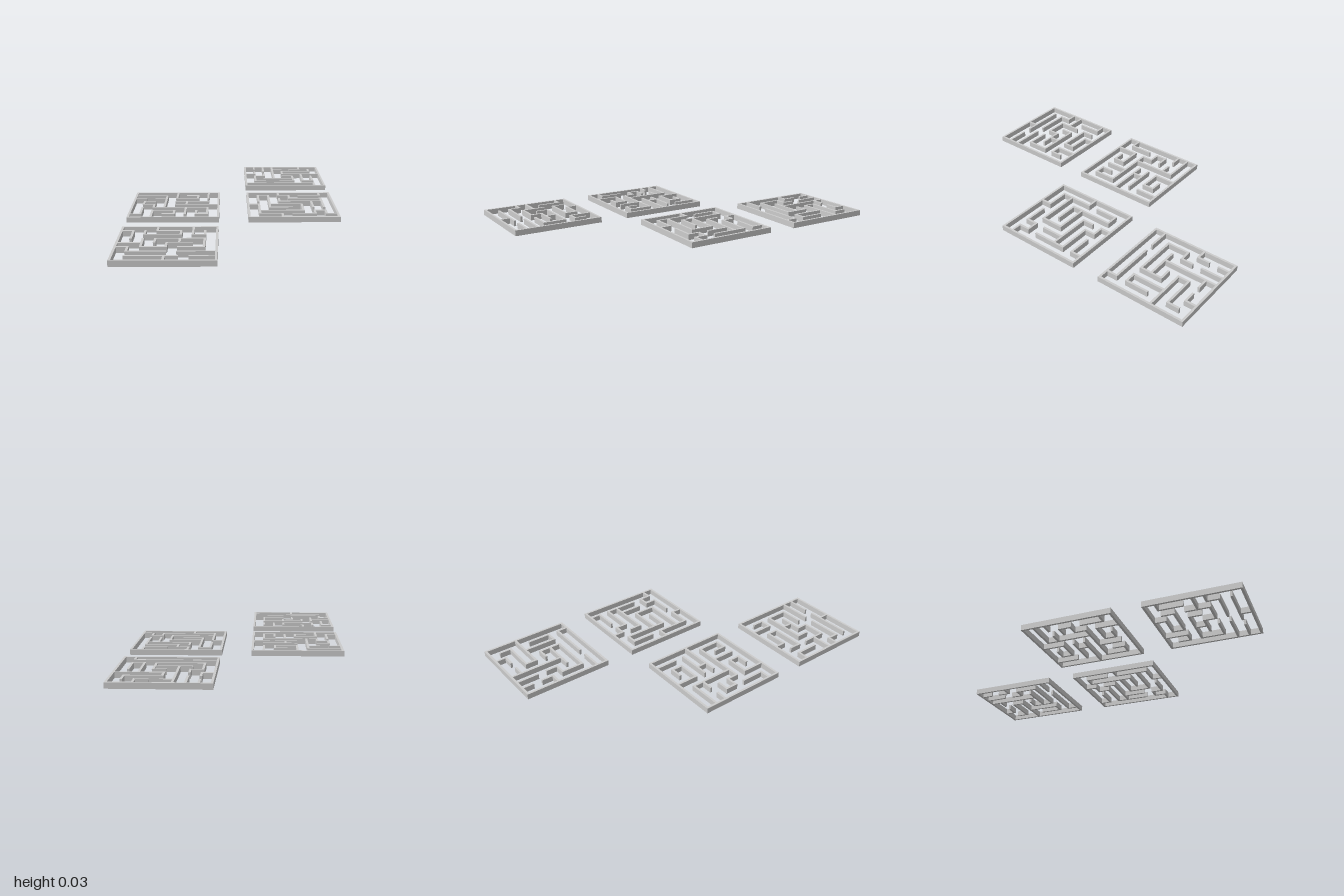
import * as THREE from 'three';
import { mergeGeometries } from 'three/addons/utils/BufferGeometryUtils.js';

const CELLS = 8;
const SIZE = 0.55;                     // outer side of one maze
const PITCH = SIZE / (CELLS + 0.2);    // distance between wall centrelines
const THICK = PITCH * 0.2;
const HEIGHT = 0.0335;
const SPACING = 0.725;                 // distance between maze centres

// Inner walls: each word is a polyline of grid corners, "column row" digits joined by dashes
const MAZES = [
  { name: 'mazeBackLeft', col: 0.5, row: -1, walls:
    '10-11 20-22 30-35 31-41 60-61-51 71-72-42-43-83 12-13-03 ' +
    '23-24-14-16-56-54-44 25-55 63-66-76-74 07-27 37-77-78' },
  { name: 'mazeMiddleRight', col: -0.5, row: 0, walls:
    '01-31-35 22-32 02-12 23-13-14-24-25-75-77-67-66 40-42-62-61-51 ' +
    '70-72 43-73 53-54 44-84 55-57 15-17-07 28-26-46-47-37' },
  { name: 'mazeMiddleLeft', col: 0.5, row: 0, walls:
    '30-31-41-42-72-75 51-71-70 13-11-21-25-45 32-33-73 63-65 ' +
    '24-54-56-16 04-14-17-37-38 47-67-66-76-77-87' },
  { name: 'mazeFrontRight', col: -0.5, row: 1, walls:
    '30-31-51-52-22-21 01-11-13 60-62-72-71 04-24 23-25-45-44-64 ' +
    '53-54 34-33-73-75-55 05-15-16-46 56-86 17-57 47-48 67-87' },
];
const FRAME = '00-80-88-08-00';

// One straight wall between two grid corners, with square ends covering the corners
function wallBox([c0, r0], [c1, r1]) {
  const box = new THREE.BoxGeometry(
    Math.abs(c1 - c0) * PITCH + THICK, HEIGHT, Math.abs(r1 - r0) * PITCH + THICK);
  return box.translate(
    ((c0 + c1) / 2 - CELLS / 2) * PITCH, HEIGHT / 2, ((r0 + r1) / 2 - CELLS / 2) * PITCH);
}

// All walls of a plan merged into a single mesh
function wallMesh(name, plan, material) {
  const boxes = [];
  for (const line of plan.split(' ')) {
    const corners = line.split('-').map(p => [Number(p[0]), Number(p[1])]);
    for (let i = 1; i < corners.length; i++) boxes.push(wallBox(corners[i - 1], corners[i]));
  }
  const mesh = new THREE.Mesh(mergeGeometries(boxes), material);
  mesh.name = name;
  return mesh;
}

export function createModel() {
  const model = new THREE.Group();
  model.name = 'mazeSet';
  const material = new THREE.MeshStandardMaterial({ color: 0xcccccc });
  for (const { name, col, row, walls } of MAZES) {
    const maze = new THREE.Group();
    maze.name = name;
    maze.add(wallMesh('outerFrame', FRAME, material), wallMesh('innerWalls', walls, material));
    maze.position.set(col * SPACING, 0, row * SPACING);
    model.add(maze);
  }
  return model;
}
